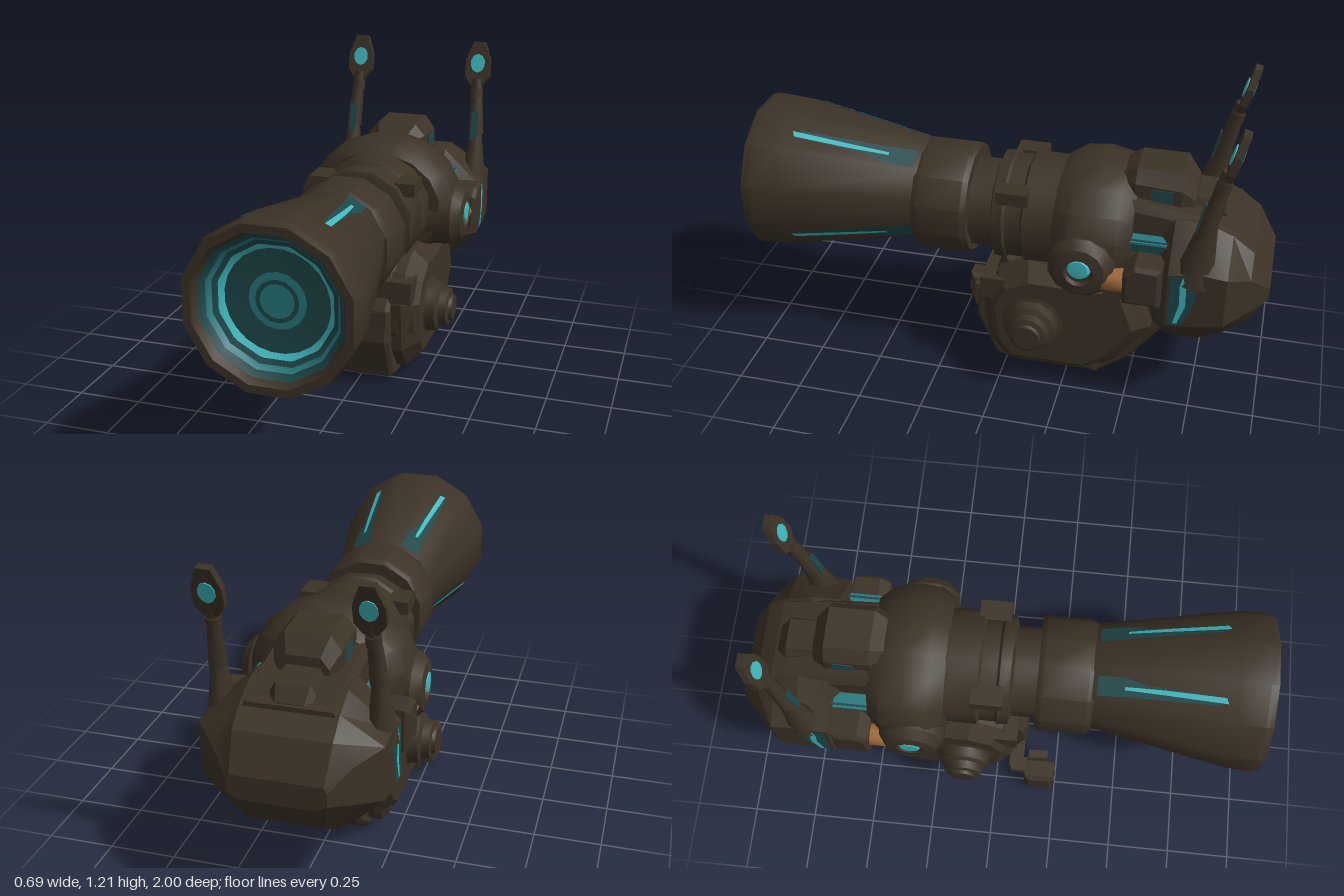
import * as THREE from 'three';
import { toCreasedNormals } from 'three/addons/utils/BufferGeometryUtils.js';

export function createModel() {
  const root = new THREE.Group();
  const mat = (name, color, side = THREE.FrontSide) => {
    const m = new THREE.MeshStandardMaterial({ color, side });
    m.name = name;
    return m;
  };
  const brown = mat('dark brown', 0x3c3226);
  const bright = mat('bright teal', 0x40b9bf, THREE.DoubleSide);
  const mid = mat('mid teal', 0x28797f, THREE.DoubleSide);
  const deep = mat('deep teal', 0x1f474a, THREE.DoubleSide);
  const orange = mat('orange', 0x9c6637);

  const add = (name, geo, material, x = 0, y = 0, z = 0, crease = 0.6) => {
    const m = new THREE.Mesh(toCreasedNormals(geo, crease), material);
    m.name = name;
    m.position.set(x, y, z);
    root.add(m);
    return m;
  };
  const box = (name, material, w, h, d, x, y, z) =>
    add(name, new THREE.BoxGeometry(w, h, d), material, x, y, z);
  // Turned part around z, profile as [radius, z], flat facet on top
  const turnZ = (pts, sides = 12) => new THREE.LatheGeometry(
    pts.map(p => new THREE.Vector2(...p)), sides, Math.PI / sides).rotateX(Math.PI / 2);
  // Turned part around x, profile as [radius, |x|]
  const turnX = (pts, s, sides = 12) => new THREE.LatheGeometry(
    pts.map(p => new THREE.Vector2(...p)), sides, Math.PI / sides).rotateZ(-s * Math.PI / 2);
  const shape = pts => new THREE.Shape(pts.map(p => new THREE.Vector2(...p)));
  // Side profile [z, y] extruded across x, with bevelled edges
  const slab = (pts, width, bevel) => new THREE.ExtrudeGeometry(shape(pts), {
    depth: width - 2 * bevel, bevelEnabled: true, bevelThickness: bevel,
    bevelSize: bevel, bevelOffset: -bevel, bevelSegments: 1,
  }).translate(0, 0, bevel - width / 2).rotateY(-Math.PI / 2);
  // Eight-sided sections along -z: [z, yBottom, wBottom, yLow, yHigh, wMid, yTop, wTop]
  const loft = sections => {
    const pos = [], idx = [], last = (sections.length - 1) * 8;
    for (const [z, yb, wb, y1, y2, wm, yt, wt] of sections)
      for (const [x, y] of [[wb, yb], [wm, y1], [wm, y2], [wt, yt], [-wt, yt], [-wm, y2], [-wm, y1], [-wb, yb]])
        pos.push(x, y, z);
    for (let i = 0; i < last; i += 8)
      for (let j = 0; j < 8; j++) {
        const a = i + j, b = i + (j + 1) % 8;
        idx.push(a, a + 8, b, b, a + 8, b + 8);
      }
    for (let j = 1; j < 7; j++) idx.push(0, j, j + 1, last, last + j + 1, last + j);
    const g = new THREE.BufferGeometry();
    g.setAttribute('position', new THREE.Float32BufferAttribute(pos, 3));
    g.setIndex(idx);
    return g;
  };
  const rod = (name, a, b, ra, rb, material = brown) => {
    const p = new THREE.Vector3(...a), q = new THREE.Vector3(...b);
    const m = add(name, new THREE.CylinderGeometry(rb, ra, p.distanceTo(q), 8), material, 0, 0, 0, 0.9);
    m.position.copy(p).add(q).multiplyScalar(0.5);
    m.quaternion.setFromUnitVectors(new THREE.Vector3(0, 1, 0), q.sub(p).normalize());
    return m;
  };

  // Flared horn and its lens
  const cy = 0.685;
  add('horn', turnZ([[0.19, 0.33], [0.2, 0.35], [0.3, 0.87], [0.306, 0.97], [0.298, 1], [0.268, 1], [0.255, 0.97]]), brown, 0, cy);
  add('bowlOuter', turnZ([[0.255, 0.97], [0.235, 0.95]]), deep, 0, cy);
  add('bowlStep', turnZ([[0.235, 0.95], [0.222, 0.93]]), mid, 0, cy);
  add('bowlInner', turnZ([[0.222, 0.93], [0.204, 0.92]]), deep, 0, cy);
  add('lensRing', turnZ([[0.204, 0.92], [0.182, 0.905]], 24), bright, 0, cy);
  add('lensDisc', turnZ([[0.204, 0.905], [0.1, 0.895], [0, 0.895]], 24), deep, 0, cy);
  add('lensHalo', new THREE.RingGeometry(0.065, 0.1, 16), mid, 0, cy, 0.9);
  add('lensCore', new THREE.CircleGeometry(0.065, 16), mid, 0, cy, 0.903);
  add('lensGap', new THREE.RingGeometry(0.06, 0.075, 16), deep, 0, cy, 0.905);

  // Painted streaks lying on horn facets, outlined as [z, sideways]
  const streak = (name, material, degrees, lift, pts) => {
    const g = new THREE.ShapeGeometry(shape(pts)), p = g.attributes.position;
    const c = Math.cos(degrees * Math.PI / 180), s = Math.sin(degrees * Math.PI / 180);
    for (let i = 0; i < p.count; i++) {
      const z = p.getX(i), t = p.getY(i);
      const r = (0.2 + (z - 0.35) * 0.1923) * Math.cos(Math.PI / 12) + lift;
      p.setXYZ(i, c * r - s * t, s * r + c * t, z);
    }
    add(name, g, material, 0, cy);
  };
  for (const deg of [60, 120, -30, 210]) {
    streak('hornShade', deep, deg, 0.003, [[0.36, -0.035], [0.46, -0.04], [0.54, -0.02], [0.8, -0.012], [0.8, 0.018], [0.5, 0.03], [0.36, 0.04]]);
    streak('hornStreak', bright, deg, 0.006, [[0.46, -0.006], [0.6, -0.012], [0.82, -0.014], [0.83, 0.008], [0.6, 0.006], [0.46, 0.006]]);
  }

  // Barrel: sleeve, neck, clamp and broad collar
  add('sleeve', turnZ([[0, 0.14], [0.21, 0.14], [0.222, 0.16], [0.222, 0.33], [0.21, 0.355], [0, 0.355]]), brown, 0, 0.665);
  add('neck', turnZ([[0.175, 0], [0.175, 0.15]]), brown, 0, 0.655);
  add('clamp', turnZ([[0, -0.22], [0.22, -0.22], [0.222, -0.08], [0.205, -0.07], [0.205, -0.01], [0.215, 0], [0.21, 0.04], [0.18, 0.05], [0, 0.05]]), brown, 0, 0.66);
  for (const s of [1, -1]) box('clampLug', brown, 0.08, 0.05, 0.12, s * 0.17, 0.8, -0.04);
  add('collar', turnZ([[0, -0.49], [0.2, -0.49], [0.24, -0.44], [0.258, -0.35], [0.25, -0.26], [0.215, -0.2], [0, -0.2]], 16)
    .scale(1.2, 1, 1), brown, 0, 0.66);

  // Lower body with chamfered flanks and front panel
  add('bodyCore', slab([[0.12, 0.2], [0.11, 0.33], [0.05, 0.42], [0, 0.5], [-0.6, 0.5], [-0.63, 0.28], [-0.5, 0.1], [-0.37, 0],
    [-0.03, 0], [0.04, 0.02]], 0.28, 0.015), brown, 0, 0, 0, 0.3);
  add('bodyFlanks', slab([[0.06, 0.15], [0.08, 0.35], [0.02, 0.46], [-0.1, 0.52], [-0.5, 0.52], [-0.58, 0.3], [-0.45, 0.12],
    [-0.35, 0.05], [-0.02, 0.05]], 0.48, 0.06), brown, 0, 0, 0, 0.3);
  add('bodyBand', slab([[-0.3, 0.06], [-0.3, 0.5], [-0.4, 0.5], [-0.46, 0.25], [-0.38, 0.05]], 0.44, 0.03), brown, 0, 0, 0, 0.3);
  box('chestPlate', brown, 0.44, 0.09, 0.1, 0, 0.4, 0.03);
  box('frontPanel', brown, 0.2, 0.07, 0.03, 0.03, 0.29, 0.1);

  // Small foot knob on a short arm
  box('knobArm', brown, 0.12, 0.035, 0.06, -0.15, 0.036, 0.08);
  box('knobStem', brown, 0.06, 0.035, 0.1, -0.2, 0.036, 0.11);
  add('knob', slab([[0.12, 0.02], [0.12, 0.15], [0.24, 0.155], [0.24, 0.02]], 0.1, 0.018), brown, -0.24, 0, 0, 0.3);
  box('knobSide', brown, 0.05, 0.1, 0.08, -0.18, 0.08, 0.17);
  for (const x of [-0.265, -0.22]) box('knobTooth', brown, 0.02, 0.04, 0.012, x, 0.08, 0.24);

  // Torso and dorsal ridge
  add('torso', loft([
    [-0.4, 0.4, 0.18, 0.46, 0.62, 0.25, 0.7, 0.2], [-0.72, 0.4, 0.18, 0.46, 0.62, 0.25, 0.7, 0.2]]), brown, 0, 0, 0, 0.3);
  add('ridge', loft([
    [-0.42, 0.6, 0.17, 0.62, 0.8, 0.17, 0.835, 0.15], [-0.7, 0.6, 0.17, 0.62, 0.77, 0.17, 0.8, 0.15],
    [-0.86, 0.6, 0.17, 0.62, 0.72, 0.17, 0.755, 0.15]]), brown, 0, 0, 0, 0.3);
  add('hump', loft([
    [-0.42, 0.78, 0.07, 0.8, 0.86, 0.08, 0.89, 0.06], [-0.48, 0.78, 0.11, 0.8, 0.88, 0.12, 0.925, 0.08],
    [-0.65, 0.76, 0.11, 0.78, 0.87, 0.12, 0.925, 0.08], [-0.7, 0.76, 0.08, 0.77, 0.82, 0.09, 0.86, 0.06]]), brown, 0, 0, 0, 0.3);
  add('rearBump', loft([
    [-0.7, 0.72, 0.06, 0.74, 0.8, 0.07, 0.825, 0.06], [-0.81, 0.7, 0.07, 0.72, 0.78, 0.08, 0.815, 0.06],
    [-0.85, 0.7, 0.06, 0.71, 0.74, 0.06, 0.76, 0.05]]), brown, 0, 0, 0, 0.3);

  // Faceted rear head
  add('rearHead', loft([
    [-0.58, 0.31, 0.15, 0.41, 0.58, 0.24, 0.68, 0.17],
    [-0.64, 0.28, 0.18, 0.42, 0.64, 0.32, 0.785, 0.17],
    [-0.75, 0.275, 0.18, 0.43, 0.66, 0.32, 0.785, 0.17],
    [-0.85, 0.31, 0.16, 0.45, 0.65, 0.32, 0.745, 0.17],
    [-0.93, 0.36, 0.14, 0.47, 0.61, 0.24, 0.685, 0.17],
    [-1, 0.47, 0.13, 0.49, 0.54, 0.17, 0.56, 0.16]]), brown, 0, 0, 0, 0.3);

  for (const s of [1, -1]) {
    // Side wheel with stepped hub
    add('sideWheel', turnX([[0.21, 0.05], [0.21, 0.16], [0.17, 0.225], [0.12, 0.24], [0.105, 0.245], [0.1, 0.285], [0.08, 0.295],
      [0.075, 0.325], [0.055, 0.33], [0.05, 0.343], [0, 0.343]], s), brown, 0, 0.28, -0.13, 0.55);

    // Glowing side lamp
    add('lampHousing', turnX([[0.13, 0.2], [0.125, 0.3], [0.095, 0.335], [0.055, 0.342], [0.045, 0.33], [0, 0.33]], s), brown, 0, 0.61, -0.32);
    add('lampGlow', turnX([[0.046, 0.33], [0.036, 0.344], [0, 0.347]], s), bright, 0, 0.625, -0.32);

    // Side pod with orange cap and teal strip
    add('sidePod', slab([[-0.48, 0.5], [-0.48, 0.63], [-0.52, 0.665], [-0.62, 0.66], [-0.62, 0.5]], 0.14, 0.015), brown, s * 0.272, 0, 0, 0.3);
    rod('podCap', [s * 0.285, 0.57, -0.4], [s * 0.285, 0.57, -0.482], 0.045, 0.045, orange);
    box('sideStrip', deep, 0.008, 0.05, 0.17, s * 0.222, 0.685, -0.545);
    box('sideStripGlow', mid, 0.06, 0.008, 0.15, s * 0.205, 0.703, -0.545);
    box('humpMark', deep, 0.006, 0.05, 0.08, s * 0.121, 0.84, -0.58);

    // Crescent mark on the cheek
    const cheek = (name, material, x, pts) =>
      add(name, new THREE.ShapeGeometry(shape(pts)).rotateY(-Math.PI / 2), material, s * x);
    cheek('cheekShade', deep, 0.323, [[-0.65, 0.43], [-0.7, 0.43], [-0.745, 0.54], [-0.74, 0.65], [-0.65, 0.64]]);
    cheek('cheekCrescent', bright, 0.326, [[-0.67, 0.44], [-0.685, 0.44], [-0.712, 0.52], [-0.71, 0.6], [-0.695, 0.645],
      [-0.685, 0.6], [-0.69, 0.53]]);

    // Antenna: flared root, stalk and paddle tip
    rod('antennaRoot', [s * 0.28, 0.6, -0.725], [s * 0.277, 0.84, -0.762], 0.075, 0.034).scale.x = 0.75;
    rod('antennaStalk', [s * 0.277, 0.83, -0.76], [s * 0.265, 1.06, -0.812], 0.034, 0.022);
    rod('antennaKnuckle', [s * 0.267, 0.98, -0.795], [s * 0.266, 1.02, -0.804], 0.028, 0.028);
    const patch = box('stalkMark', deep, 0.028, 0.12, 0.006, s * 0.274, 0.87, -0.735);
    patch.rotation.x = -0.22;
    const paddle = new THREE.ExtrudeGeometry(shape([[-0.025, -0.095], [0.025, -0.095], [0.053, -0.055], [0.053, 0.015], [0.025, 0.092],
      [-0.025, 0.092], [-0.053, 0.015], [-0.053, -0.055]]), { depth: 0.028, bevelEnabled: false }).translate(0, 0, -0.014);
    add('antennaPaddle', paddle, brown, s * 0.264, 1.122, -0.836, 0.3).rotation.x = -0.27;
    const oval = new THREE.CylinderGeometry(0.04, 0.04, 0.036, 10).rotateX(Math.PI / 2).scale(0.78, 1, 1);
    add('antennaLight', oval, bright, s * 0.264, 1.122, -0.836).rotation.x = -0.27;
  }
  return root;
}
